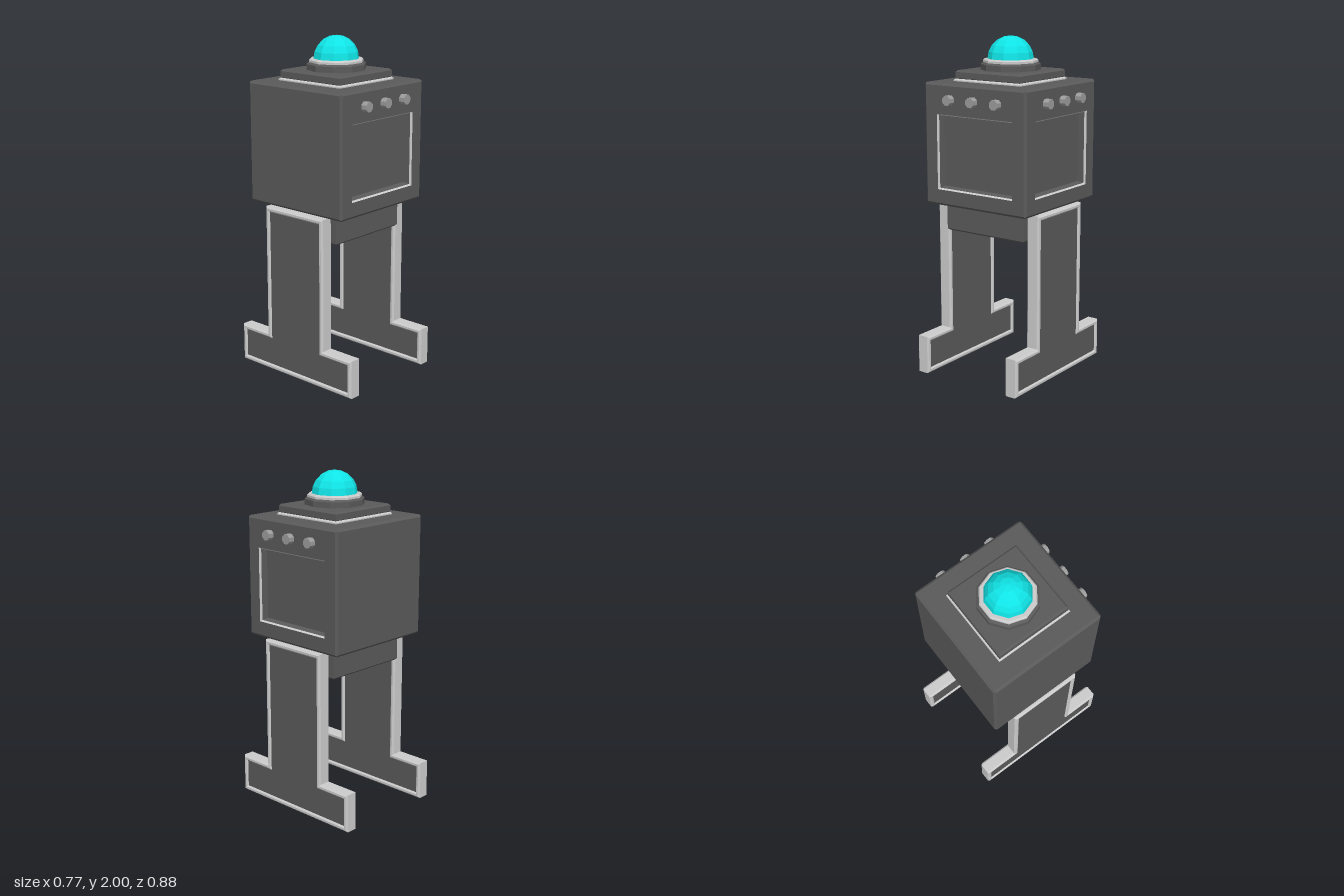
import * as THREE from 'three';

const mat = (color) => new THREE.MeshStandardMaterial({ color, flatShading: true });

// Skin joining rectangles [width, height, z, yOffset] in order; a zero-size one closes the end.
function loft(rects) {
  const ring = ([w, h, z, y = 0]) =>
    [[-1, -1], [1, -1], [1, 1], [-1, 1]].map(([sx, sy]) => [sx * w / 2, y + sy * h / 2, z]);
  const pos = [];
  for (let k = 0; k + 1 < rects.length; k++) {
    const lo = ring(rects[k]), hi = ring(rects[k + 1]);
    for (let i = 0; i < 4; i++) {
      const j = (i + 1) % 4;
      pos.push(...lo[i], ...lo[j], ...hi[j], ...lo[i], ...hi[j], ...hi[i]);
    }
  }
  const g = new THREE.BufferGeometry();
  g.setAttribute('position', new THREE.Float32BufferAttribute(pos, 3));
  g.computeVertexNormals();
  return g;
}

// Box with chamfered edges, standing on its base
function chamferBox(w, h, d, b) {
  return loft([
    [0, 0, 0], [w - 2 * b, d - 2 * b, 0], [w, d, b],
    [w, d, h - b], [w - 2 * b, d - 2 * b, h], [0, 0, h],
  ]).rotateX(-Math.PI / 2);
}

// Upside-down T outline of a leg, shrunk by m
function legOutline(m, PathType) {
  const foot = 0.44 - m, col = 0.225 - m, low = m, step = 0.23 - m, top = 1.02 - m;
  return new PathType([
    [-foot, low], [foot, low], [foot, step], [col, step],
    [col, top], [-col, top], [-col, step], [-foot, step],
  ].map(([x, y]) => new THREE.Vector2(x, y)));
}

export function createModel() {
  const model = new THREE.Group();
  const dark = mat(0x5a5a5a), light = mat(0xcccccc), metal = mat(0x9c9c9c), cyan = mat(0x10e4e6);
  const CX = -0.013;

  function add(parent, name, geometry, material, x = 0, y = 0, z = 0) {
    const mesh = new THREE.Mesh(geometry, material);
    mesh.name = name;
    mesh.position.set(x, y, z);
    parent.add(mesh);
    return mesh;
  }

  // Cubic body: six chamfered faces, two of them with a recessed window and knobs
  const body = new THREE.Group();
  body.name = 'body';
  body.position.set(CX, 1.385, -0.002);
  model.add(body);
  const H = 0.357, B = 0.014, wy = -0.042;
  const edge = [[2 * H - B, 2 * H - B, H - B / 2], [2 * H - 2 * B, 2 * H - 2 * B, H]];
  const knobGeo = new THREE.CylinderGeometry(0.03, 0.03, 0.06, 8).rotateY(Math.PI / 8).rotateX(Math.PI / 2);

  const faces = [
    ['front', 0, 0, true], ['left', 0, Math.PI / 2, true], ['back', 0, Math.PI, false],
    ['right', 0, -Math.PI / 2, false], ['top', -Math.PI / 2, 0, false], ['bottom', Math.PI / 2, 0, false],
  ];
  for (const [name, rx, ry, hasWindow] of faces) {
    const face = new THREE.Group();
    face.name = name + 'Face';
    face.rotation.set(rx, ry, 0);
    body.add(face);
    if (!hasWindow) {
      add(face, name + 'Panel', loft([...edge, [0, 0, H]]), dark);
      continue;
    }
    add(face, name + 'Panel', loft([...edge, [0.53, 0.44, H, wy]]), dark);
    add(face, name + 'WindowTrim', loft([[0.53, 0.44, H, wy], [0.515, 0.425, H - 0.012, wy]]), light);
    add(face, name + 'Window', loft([
      [0.515, 0.425, H - 0.012, wy], [0.5, 0.41, H - 0.05, wy], [0, 0, H - 0.05, wy],
    ]), dark);
    for (const x of [-0.165, 0, 0.165]) add(face, name + 'Knob', knobGeo, metal, x, 0.265, H + 0.007);
  }

  // Hip block between the legs
  add(model, 'hipBlock', chamferBox(0.55, 0.19, 0.5, 0.01), dark, CX - 0.007, 0.855, 0);

  // Legs: light bevelled frame around a dark slab
  const frame = legOutline(0, THREE.Shape);
  frame.holes.push(legOutline(0.032, THREE.Path));
  const bevel = 0.01, thick = 0.083;
  const frameGeo = new THREE.ExtrudeGeometry(frame, {
    depth: thick - 2 * bevel, bevelEnabled: true, bevelThickness: bevel,
    bevelSize: bevel, bevelOffset: -bevel, bevelSegments: 1,
  }).translate(0, 0, bevel - thick / 2).rotateY(Math.PI / 2);
  const slabDepth = thick - 0.018;
  const slabGeo = new THREE.ExtrudeGeometry(legOutline(0.03, THREE.Shape), { depth: slabDepth, bevelEnabled: false })
    .translate(0, 0, -slabDepth / 2).rotateY(Math.PI / 2);
  for (const [name, x] of [['leftLeg', 0.303], ['rightLeg', -0.343]]) {
    const leg = new THREE.Group();
    leg.name = name;
    leg.position.x = x;
    model.add(leg);
    add(leg, name + 'Frame', frameGeo, light);
    add(leg, name + 'Panel', slabGeo, dark);
  }

  // Stepped plate on top of the body
  add(model, 'topPlateTrim', chamferBox(0.47, 0.022, 0.47, 0.008), light, CX, 1.735, 0);
  add(model, 'topPlate', chamferBox(0.455, 0.055, 0.455, 0.01), dark, CX, 1.75, 0);

  // Ten-sided lamp collar, rim and dome
  const lathe = (pts) => new THREE.LatheGeometry(pts.map(([r, y]) => new THREE.Vector2(r, y)), 10).rotateY(Math.PI / 2);
  add(model, 'lampCollar', lathe([[0.175, 1.8], [0.175, 1.838], [0.162, 1.848], [0, 1.848]]), dark, CX);
  add(model, 'lampRim', lathe([[0.16, 1.845], [0.16, 1.86], [0.152, 1.868], [0, 1.868]]), light, CX);
  const dome = new THREE.SphereGeometry(0.134, 10, 5, 0, Math.PI * 2, 0, Math.PI / 2);
  add(model, 'lampDome', dome, cyan, CX, 1.866, 0);

  return model;
}
